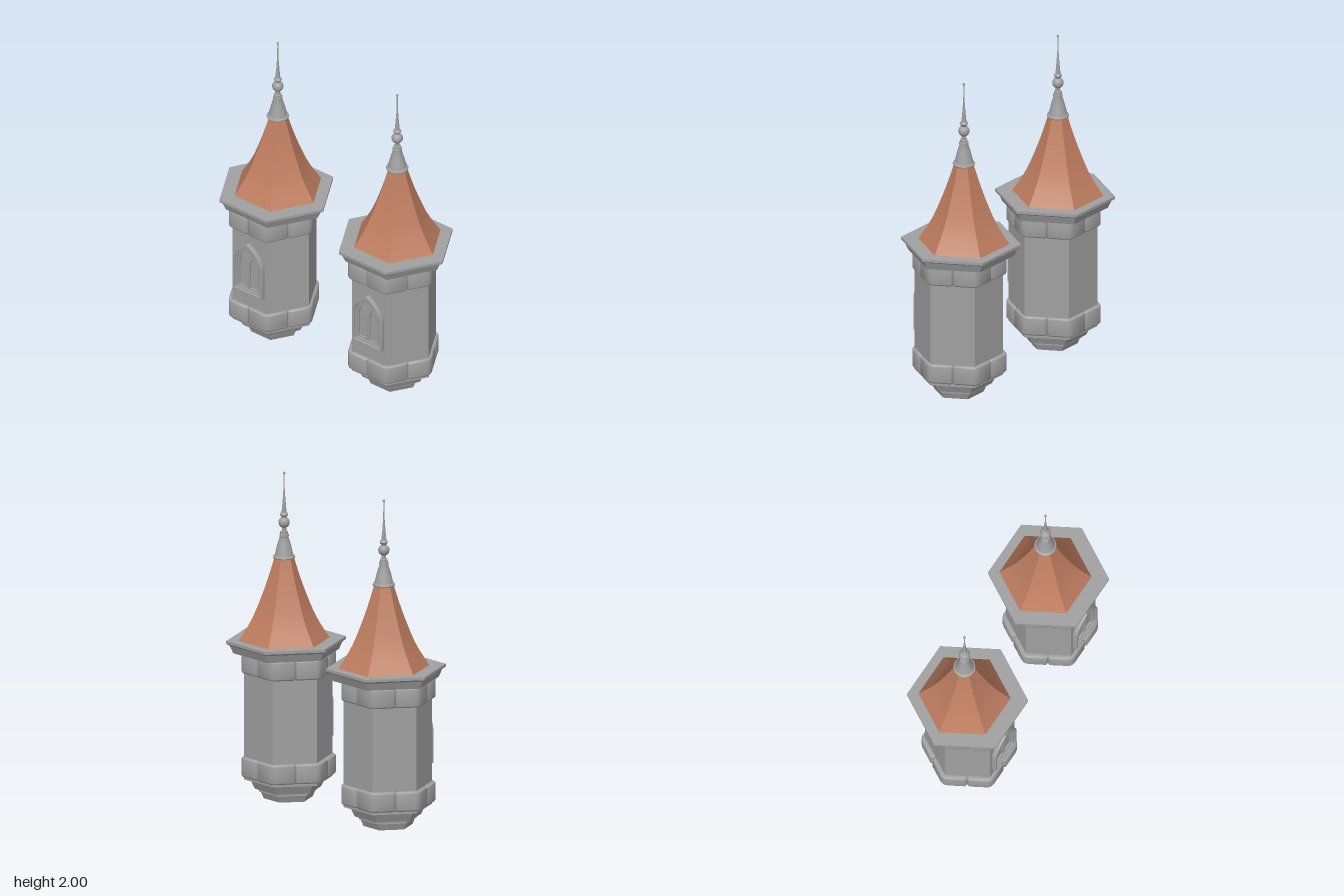
import * as THREE from 'three';
import { toCreasedNormals } from 'three/addons/utils/BufferGeometryUtils.js';

const stone = new THREE.MeshStandardMaterial({ color: 0xa0a0a0 });
stone.name = 'stone grey';
const tile = new THREE.MeshStandardMaterial({ color: 0xbf7e60 });
tile.name = 'terracotta';

function part(name, geometry, material = stone) {
  const mesh = new THREE.Mesh(geometry, material);
  mesh.name = name;
  return mesh;
}

const toPoints = (profile) => profile.map(([r, y]) => new THREE.Vector2(r, y));

// Turned shape from [radius, height] pairs listed bottom to top; six sides have corners on the x axis
function turned(points, sides = 6, crease = 0.5) {
  return toCreasedNormals(new THREE.LatheGeometry(points, sides, Math.PI / 2), crease);
}

// One rounded stone wrapping a corner of the hexagon
function cornerStone(height) {
  const R = 0.291, bevel = 0.012, cut = 0.012, round = 0.03;
  const mid = new THREE.Vector2(R * 0.75, R * Math.sqrt(3) / 4);
  const along = new THREE.Vector2(R, 0).sub(mid).normalize();
  const a = mid.clone().addScaledVector(along, cut);
  const b = mid.clone().setLength(mid.length() - cut);
  const inner = mid.clone().multiplyScalar(0.75);
  const c = new THREE.Vector2(R, 0).addScaledVector(along, -round);
  const s = new THREE.Shape();
  s.moveTo(inner.x, -inner.y);
  s.lineTo(b.x, -b.y);
  s.lineTo(a.x, -a.y);
  s.lineTo(c.x, -c.y);
  s.quadraticCurveTo(R, 0, c.x, c.y);
  s.lineTo(a.x, a.y);
  s.lineTo(b.x, b.y);
  s.lineTo(inner.x, inner.y);
  s.closePath();
  const g = new THREE.ExtrudeGeometry(s, {
    depth: height - 2 * bevel, bevelThickness: bevel, bevelSize: bevel,
    bevelOffset: -bevel, bevelSegments: 3, curveSegments: 4,
  });
  g.rotateX(-Math.PI / 2).translate(0, bevel, 0);
  return toCreasedNormals(g, 0.9);
}

function stoneBand(name, y) {
  const band = new THREE.Group();
  band.name = name;
  const geometry = cornerStone(0.121);
  for (let i = 0; i < 6; i++) {
    const block = part('cornerStone', geometry);
    block.rotation.y = i * Math.PI / 3;
    band.add(block);
  }
  band.position.set(-0.005, y, 0);
  return band;
}

// Pointed arch outline
function arch(Type, cx, halfWidth, bottom, spring, apex) {
  const p = new Type();
  const shoulder = spring + (apex - spring) * 0.55;
  p.moveTo(cx - halfWidth, bottom);
  p.lineTo(cx + halfWidth, bottom);
  p.lineTo(cx + halfWidth, spring);
  p.quadraticCurveTo(cx + halfWidth * 0.93, shoulder, cx, apex);
  p.quadraticCurveTo(cx - halfWidth * 0.93, shoulder, cx - halfWidth, spring);
  p.closePath();
  return p;
}

function plate(name, outline, holes, depth, bevel = 0) {
  outline.holes.push(...holes);
  const g = new THREE.ExtrudeGeometry(outline, {
    depth: depth - bevel, bevelEnabled: bevel > 0, bevelThickness: bevel,
    bevelSize: bevel, bevelOffset: -bevel, bevelSegments: 2, curveSegments: 10,
  });
  return part(name, toCreasedNormals(g, 0.6));
}

function makeWindow() {
  const w = new THREE.Group();
  w.name = 'window';
  const { Shape, Path } = THREE;
  // Stepped frame, then tracery with two pointed lights
  w.add(plate('outerFrame', arch(Shape, 0, 0.113, 0.36, 0.57, 0.71),
    [arch(Path, 0, 0.097, 0.376, 0.57, 0.688)], 0.03, 0.004));
  w.add(plate('innerFrame', arch(Shape, 0, 0.099, 0.374, 0.57, 0.69),
    [arch(Path, 0, 0.084, 0.386, 0.57, 0.668)], 0.018, 0.003));
  const lights = [-1, 1].map((s) => arch(Path, s * 0.041, 0.035, 0.395, 0.56, 0.63));
  w.add(plate('tracery', arch(Shape, 0, 0.086, 0.384, 0.57, 0.67), lights, 0.009));
  for (const s of [-1, 1]) {
    const rim = plate('lightRim', arch(Shape, s * 0.041, 0.036, 0.394, 0.56, 0.632),
      [arch(Path, s * 0.041, 0.03, 0.4, 0.56, 0.621)], 0.013);
    w.add(rim);
  }
  return w;
}

function makeBody() {
  const body = new THREE.Group();
  body.name = 'body';
  // Hexagonal shaft
  body.add(part('shaft', turned(toPoints([[0.267, 0.12], [0.267, 0.91]]))));
  // Stepped corbel with a dished underside
  body.add(part('corbel', turned(toPoints([
    [0, 0.025], [0.075, 0.025], [0.1, 0], [0.148, 0], [0.165, 0.04], [0.175, 0.042],
    [0.175, 0.055], [0.2, 0.06], [0.228, 0.115], [0.243, 0.122], [0.243, 0.145], [0.2, 0.15],
  ]))));
  body.add(stoneBand('lowerBand', 0.138), stoneBand('upperBand', 0.773));
  const win = makeWindow();
  win.position.z = 0.267 * Math.sqrt(3) / 2 - 0.002;
  body.add(win);
  body.position.z = 0.016;
  return body;
}

function makeRoof() {
  const roof = new THREE.Group();
  roof.name = 'roof';
  // Flared six-sided spire
  const curve = new THREE.SplineCurve(toPoints([
    [0.275, 0.973], [0.197, 1.1], [0.14, 1.233], [0.096, 1.355], [0.056, 1.485],
  ]));
  roof.add(part('spire', turned(curve.getPoints(10), 6, 0.4), tile));
  // Turned finial
  roof.add(part('finial', turned(toPoints([
    [0.05, 1.472], [0.064, 1.472], [0.067, 1.479], [0.064, 1.487], [0.056, 1.49],
    [0.042, 1.55], [0.026, 1.603], [0.028, 1.605], [0.028, 1.618], [0.023, 1.62],
    [0.023, 1.634], [0.013, 1.637], [0.013, 1.72], [0.021, 1.73], [0.025, 1.738],
    [0.021, 1.747], [0.015, 1.752], [0.009, 1.82], [0.004, 1.89], [0.003, 1.99],
  ]), 24, 0.6)));
  const ball = part('finialBall', new THREE.SphereGeometry(0.034, 24, 16));
  ball.position.y = 1.69;
  const tip = part('tipBall', new THREE.SphereGeometry(0.008, 12, 8));
  tip.position.y = 1.992;
  roof.add(ball, tip);
  roof.position.set(-0.004, 0, -0.019);
  return roof;
}

function makeTurret(name, x, z) {
  const turret = new THREE.Group();
  turret.name = name;
  turret.add(makeBody(), makeRoof());
  // Overhanging cornice
  turret.add(part('cornice', turned(toPoints([
    [0, 0.897], [0.319, 0.897], [0.341, 0.945], [0.352, 0.95], [0.361, 0.957], [0.361, 0.974], [0, 0.974],
  ]))));
  turret.position.set(x, 0, z);
  return turret;
}

export function createModel() {
  const model = new THREE.Group();
  model.name = 'turrets';
  model.add(makeTurret('rightTurret', -0.455, 0.005), makeTurret('leftTurret', 0.451, -0.013));
  return model;
}
